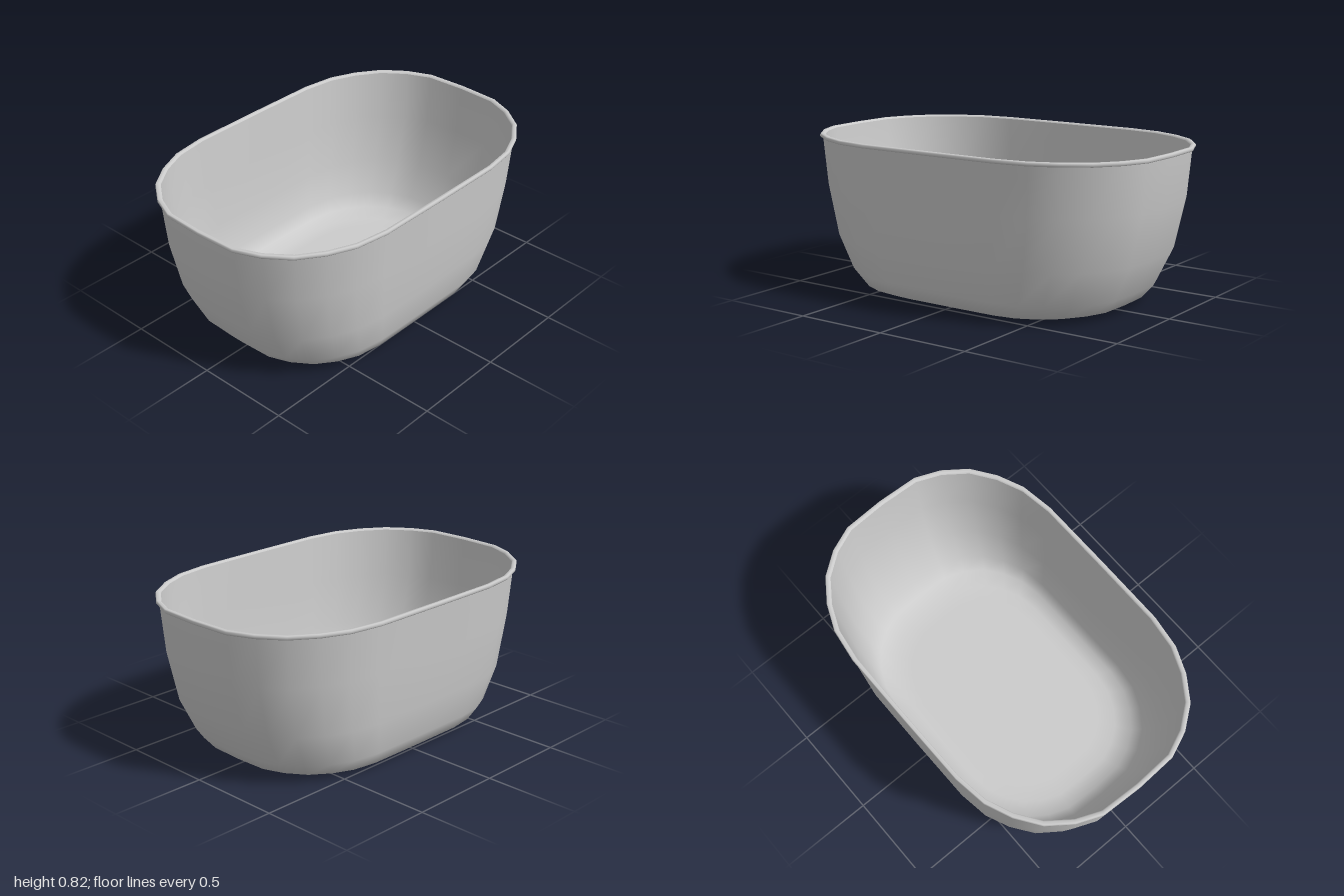
import * as THREE from 'three';

// Quarter of the plan outline, scaled to 1 x 1
const quarter = [[1, 0], [0.99, 0.34], [0.935, 0.545], [0.845, 0.73], [0.72, 0.865], [0.58, 0.957], [0.4, 0.997], [0, 1]];

// Mirror the quarter into a full loop running +x, +z, -x, -z
function fullOutline() {
  const half = [...quarter, ...quarter.slice(0, -1).reverse().map(([x, z]) => [-x, z])];
  return [...half, ...half.slice(1, -1).reverse().map(([x, z]) => [x, -z])];
}

// Loft the outline through rings of [half width, half depth, height]
function loft(rings) {
  const outline = fullOutline();
  const n = outline.length;
  const positions = [];
  const index = [];
  rings.forEach(([w, d, y], r) => {
    outline.forEach(([x, z], i) => {
      positions.push(x * w, y, z * d);
      if (r === 0) return;
      const j = (i + 1) % n;
      const a = (r - 1) * n + i, b = (r - 1) * n + j;
      const c = r * n + i, e = r * n + j;
      index.push(a, c, b, b, c, e);
    });
  });
  const geometry = new THREE.BufferGeometry();
  geometry.setAttribute('position', new THREE.Float32BufferAttribute(positions, 3));
  geometry.setIndex(index);
  geometry.computeVertexNormals();
  return geometry;
}

export function createModel() {
  const group = new THREE.Group();
  group.name = 'basin';
  const material = new THREE.MeshStandardMaterial({ color: 0xcccccc });
  const add = (name, rings) => {
    const mesh = new THREE.Mesh(loft(rings), material);
    mesh.name = name;
    group.add(mesh);
  };

  // Underside and outer wall
  add('outerShell', [
    [0, 0, 0], [0.55, 0.38, 0], [0.65, 0.45, 0], [0.75, 0.527, 0.03], [0.81, 0.565, 0.1],
    [0.9, 0.6, 0.28], [0.963, 0.62, 0.55], [0.985, 0.638, 0.8],
  ]);

  // Small lip around the opening
  add('rim', [
    [0.985, 0.638, 0.8], [0.996, 0.646, 0.8], [1, 0.65, 0.806], [1, 0.65, 0.815],
    [0.996, 0.646, 0.821], [0.982, 0.632, 0.821], [0.975, 0.627, 0.812],
  ]);

  // Inner wall and floor
  add('innerShell', [
    [0.975, 0.627, 0.812], [0.95, 0.607, 0.55], [0.887, 0.587, 0.285],
    [0.798, 0.552, 0.11], [0.74, 0.515, 0.045], [0.65, 0.45, 0.018], [0.55, 0.38, 0.018], [0, 0, 0.018],
  ]);
  return group;
}
